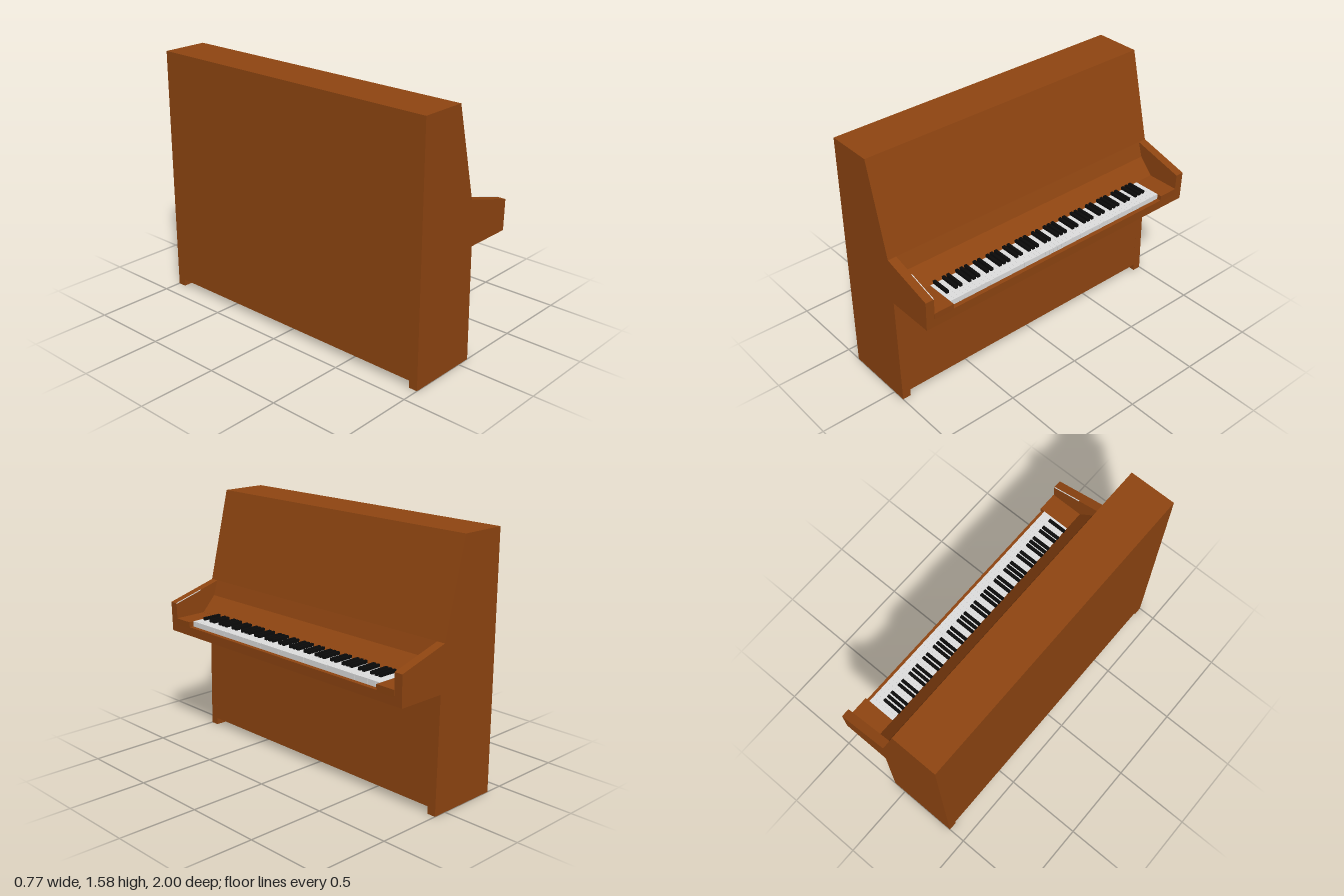
import * as THREE from 'three';

export function createModel() {
  const model = new THREE.Group();
  model.name = 'uprightPiano';

  const material = (name, color) => {
    const m = new THREE.MeshStandardMaterial({ color });
    m.name = name;
    return m;
  };
  const wood = material('brown wood', 0x8f4511);
  const ivory = material('white keys', 0xdedede);
  const ebony = material('black keys', 0x0a0a0a);

  const add = (name, geometry, mat, parent = model) => {
    const mesh = new THREE.Mesh(geometry, mat);
    mesh.name = name;
    parent.add(mesh);
    return mesh;
  };
  // Extrudes an x-y profile between two z positions
  const slab = (name, points, z0, z1, mat = wood) => {
    const shape = new THREE.Shape(points.map(([x, y]) => new THREE.Vector2(x, y)));
    const geometry = new THREE.ExtrudeGeometry(shape, { depth: z1 - z0, bevelEnabled: false });
    return add(name, geometry.translate(0, 0, z0), mat);
  };
  const box = (name, x0, x1, y0, y1, z0, z1, mat, parent) =>
    add(name, new THREE.BoxGeometry(x1 - x0, y1 - y0, z1 - z0)
      .translate((x0 + x1) / 2, (y0 + y1) / 2, (z0 + z1) / 2), mat, parent);

  const inner = 0.945; // inside face of the side panels
  const keyEnd = 0.816; // half length of the keyboard

  // Side panels with the arms
  const sideProfile = [
    [-0.387, 0], [0.085, 0], [0.071, 0.72], [0.38, 0.72],
    [0.385, 0.91], [0.05, 1.005], [-0.092, 1.58], [-0.387, 1.58],
  ];
  slab('leftSidePanel', sideProfile, -1, -inner);
  slab('rightSidePanel', sideProfile, inner, 1);

  // Case between the sides: lower panel, keybed, fallboard, upper panel
  slab('case', [
    [-0.387, 0.045], [0.084, 0.045], [0.071, 0.72], [0.38, 0.72],
    [0.382, 0.778], [0.17, 0.778], [0.17, 0.812], [0.08, 0.91],
    [0.05, 1.005], [-0.092, 1.58], [-0.387, 1.58],
  ], -inner, inner);

  // Blocks at both ends of the keyboard
  for (const [z0, z1] of [[-inner, -keyEnd], [keyEnd, inner]]) {
    slab('keyBlock', [[0.17, 0.77], [0.382, 0.77], [0.384, 0.811], [0.17, 0.811]], z0, z1);
  }

  // Thin pale edge on one arm
  slab('armEdge', [[0.19, 0.962], [0.384, 0.907], [0.384, 0.911], [0.19, 0.966]],
    inner - 0.001, inner + 0.004, ivory);

  // Keyboard: 52 white keys from low A at +z, black keys by octave pattern
  const keyboard = new THREE.Group();
  keyboard.name = 'keyboard';
  model.add(keyboard);
  const count = 52;
  const pitch = (2 * keyEnd) / count;
  const hasSharp = [true, false, true, true, false, true, true]; // A B C D E F G
  for (let i = 0; i < count; i++) {
    const z = keyEnd - i * pitch;
    box('whiteKey', 0.165, 0.354, 0.775, 0.812, z - pitch + 0.0003, z - 0.0003, ivory, keyboard);
    if (hasSharp[i % 7] && i < count - 1) {
      const c = z - pitch;
      box('blackKey', 0.165, 0.29, 0.805, 0.83, c - 0.009, c + 0.009, ebony, keyboard);
    }
  }
  return model;
}
